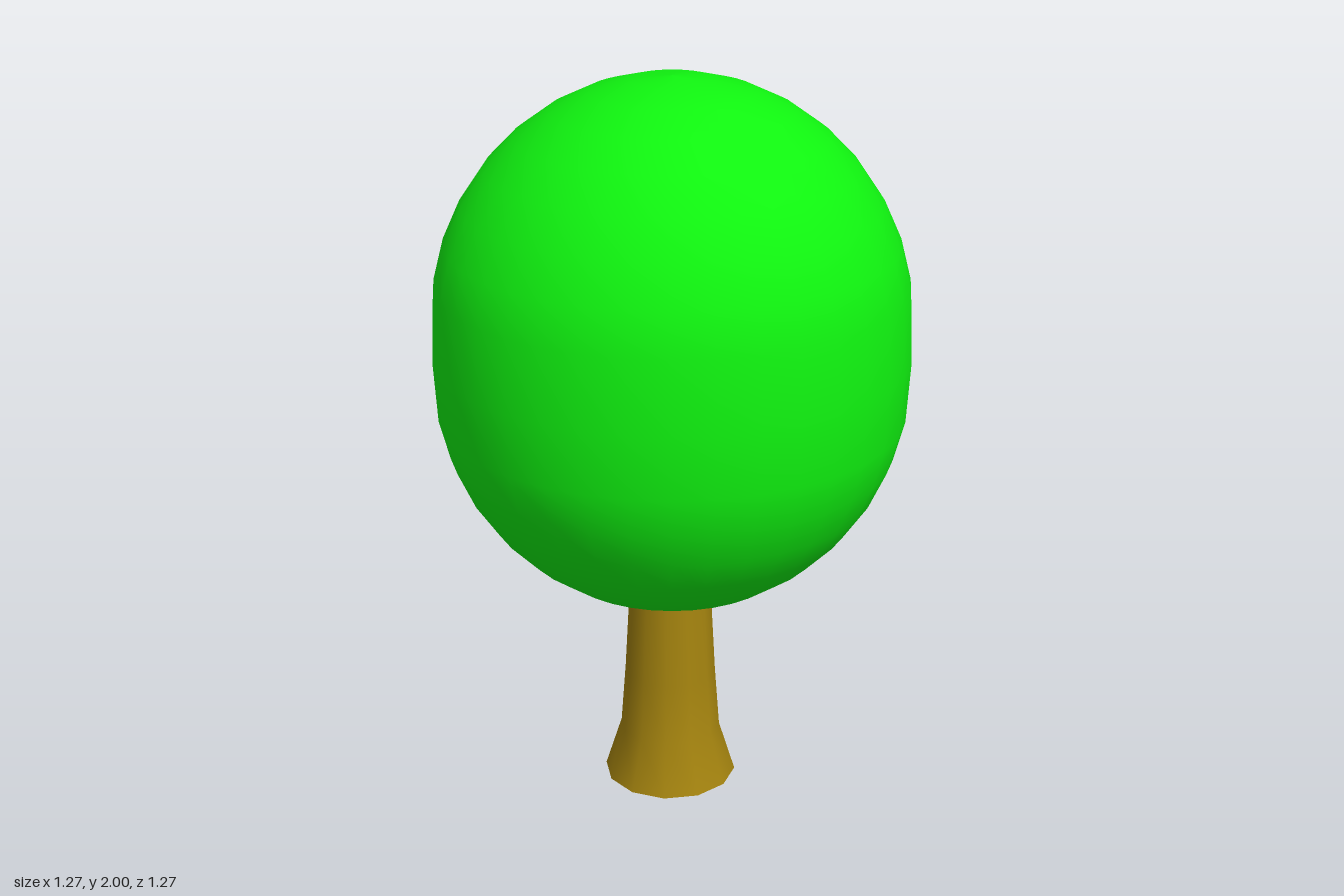
import * as THREE from 'three';

const v = (r, y) => new THREE.Vector2(r, y);

function lathe(name, points, sides, color, phase = 0) {
  const mesh = new THREE.Mesh(
    new THREE.LatheGeometry(points, sides, phase),
    new THREE.MeshStandardMaterial({ color })
  );
  mesh.name = name;
  return mesh;
}

export function createModel() {
  const tree = new THREE.Group();
  tree.name = 'tree';

  // Crown: two domes pulled slightly apart around the widest ring
  const rings = 18, radius = 0.633, domeHeight = 0.65;
  const crownProfile = [];
  for (let i = 0; i <= rings; i++) {
    const a = (i / rings) * Math.PI;
    const centre = i < rings / 2 ? 1.215 : i > rings / 2 ? 1.35 : 1.27;
    const r = i === 0 || i === rings ? 0 : radius * Math.sin(a);
    crownProfile.push(v(r, centre - domeHeight * Math.cos(a)));
  }
  tree.add(lathe('crown', crownProfile, 36, 0x10f410));

  // Trunk: flared foot, tapering up into the crown
  const trunk = new THREE.Group();
  trunk.name = 'trunk';
  trunk.position.set(-0.004, 0, 0.004);
  const brown = 0xa5840f, phase = Math.PI / 12;
  const trunkProfile = [v(0.184, 0), v(0.139, 0.145), v(0.126, 0.32), v(0.112, 0.58)];
  trunk.add(lathe('trunkSide', trunkProfile, 12, brown, phase));
  trunk.add(lathe('trunkBase', [v(0, 0), v(0.184, 0)], 12, brown, phase));
  tree.add(trunk);

  return tree;
}
